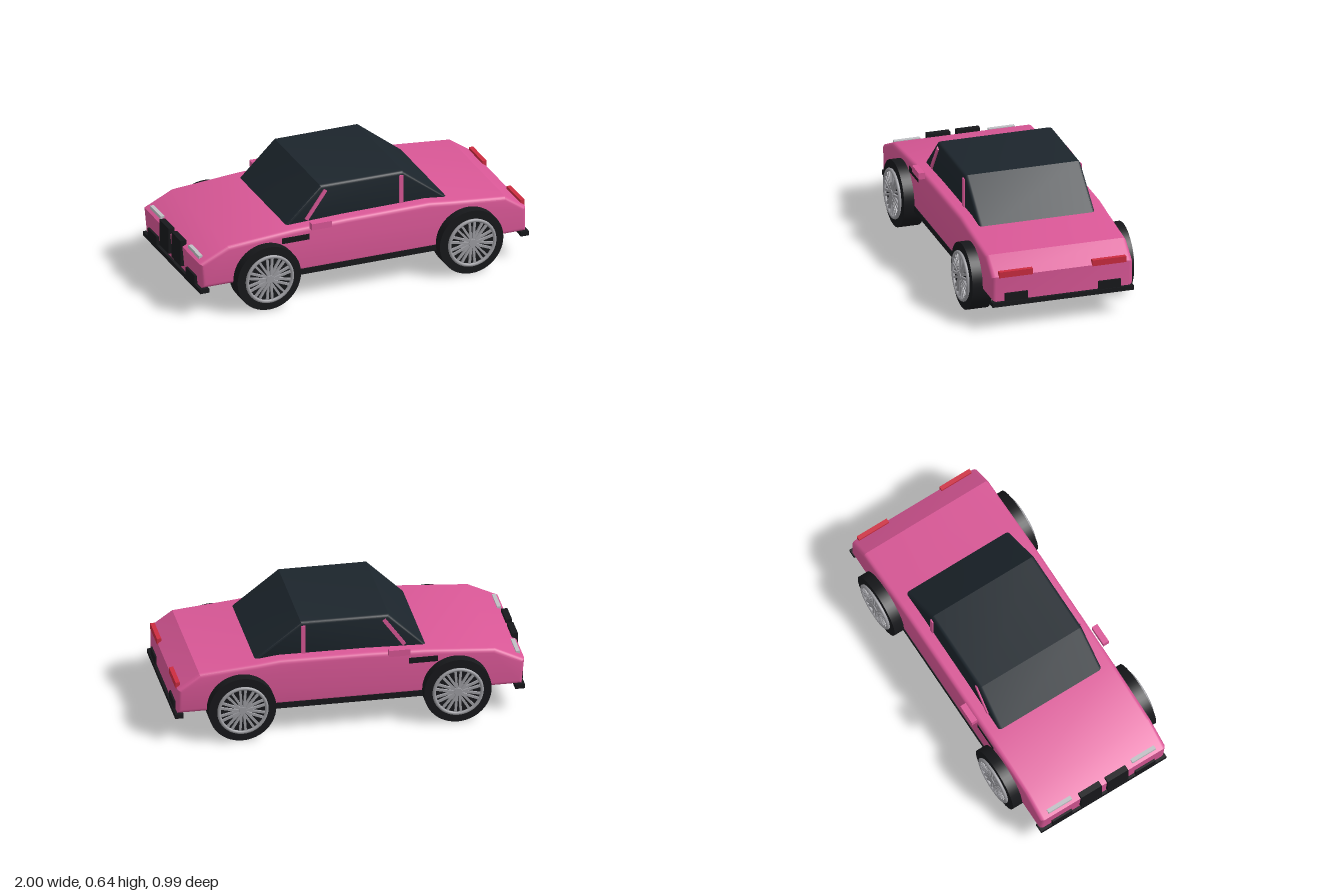
import * as THREE from 'three';
import { toCreasedNormals } from 'three/addons/utils/BufferGeometryUtils.js';

const mat = (color) => new THREE.MeshStandardMaterial({ color });

export function createModel() {
  const car = new THREE.Group();
  car.name = 'car';
  const paint = mat(0xd95796), black = mat(0x17181b), glass = mat(0x1c252c);
  const metal = mat(0x9c9ca1), red = mat(0xcc2c40), lamp = mat(0xbfc0c4);

  function add(name, geometry, material, parent = car) {
    const mesh = new THREE.Mesh(geometry, material);
    mesh.name = name;
    parent.add(mesh);
    return mesh;
  }

  // Box given by its lower and upper limits on each axis
  function box(name, material, [x0, x1], [y0, y1], [z0, z1], parent = car) {
    const mesh = add(name, new THREE.BoxGeometry(x1 - x0, y1 - y0, z1 - z0), material, parent);
    mesh.position.set((x0 + x1) / 2, (y0 + y1) / 2, (z0 + z1) / 2);
    return mesh;
  }

  // Same box on both sides of the car
  function pair(name, material, xs, ys, [z0, z1]) {
    box(name + 'Left', material, xs, ys, [z0, z1]);
    box(name + 'Right', material, xs, ys, [-z1, -z0]);
  }

  // Side profile extruded across the car with rounded edges
  function profile(name, points, halfWidth, bevel, material) {
    const shape = new THREE.Shape(points.map(([x, y]) => new THREE.Vector2(x, y)));
    const depth = 2 * (halfWidth - bevel);
    const geometry = new THREE.ExtrudeGeometry(shape, {
      depth, bevelEnabled: true, bevelThickness: bevel, bevelSize: bevel,
      bevelOffset: -bevel, bevelSegments: 4,
    });
    geometry.translate(0, 0, -depth / 2);
    return add(name, toCreasedNormals(geometry, 0.42), material);
  }

  // Body and cabin
  profile('body', [
    [-0.975, 0.168], [0.985, 0.168], [0.985, 0.315], [0.86, 0.402], [0.53, 0.432],
    [0.4, 0.447], [-0.1, 0.443], [-0.42, 0.433], [-0.82, 0.402], [-0.99, 0.32],
  ], 0.415, 0.025, paint);
  profile('cabin', [
    [-0.46, 0.41], [0.56, 0.41], [0.27, 0.637], [-0.23, 0.637],
  ], 0.34, 0.02, glass);

  // Window pillars
  for (const side of [1, -1]) {
    const front = add('windscreenPillar', new THREE.BoxGeometry(0.022, 0.2, 0.014), paint);
    front.position.set(-0.26, 0.528, side * 0.341);
    front.rotation.z = -0.62;
    const rear = add('doorPillar', new THREE.BoxGeometry(0.024, 0.185, 0.014), paint);
    rear.position.set(0.257, 0.523, side * 0.341);
  }

  // Side details
  pair('mirror', paint, [-0.33, -0.21], [0.43, 0.468], [0.418, 0.454]);
  pair('sideVent', black, [-0.495, -0.33], [0.36, 0.394], [0.405, 0.418]);
  pair('sill', black, [-0.45, 0.48], [0.15, 0.185], [0.38, 0.417]);

  // Nose
  pair('grille', black, [-1, -0.965], [0.2, 0.355], [0.02, 0.155]);
  pair('headlight', lamp, [-0.973, -0.95], [0.31, 0.347], [0.2, 0.355]);
  pair('frontIntake', black, [-0.993, -0.96], [0.165, 0.22], [0.21, 0.34]);
  box('frontLip', black, [-0.99, -0.935], [0.14, 0.166], [-0.415, 0.415]);

  // Tail
  pair('tailLight', red, [0.965, 0.99], [0.31, 0.345], [0.175, 0.373]);
  pair('rearVent', black, [0.965, 0.995], [0.165, 0.215], [0.207, 0.34]);
  box('rearLip', black, [0.952, 1], [0.14, 0.166], [-0.415, 0.415]);

  // Wheel built facing +z, with the tyre's outer face at z = 0.475
  function wheel(name, x, side) {
    const group = new THREE.Group();
    group.name = name;
    const tyre = add('tyre', new THREE.CylinderGeometry(0.192, 0.192, 0.12, 48), black, group);
    tyre.rotation.x = Math.PI / 2;
    tyre.position.z = 0.415;
    add('rim', new THREE.TorusGeometry(0.136, 0.01, 10, 48), metal, group).position.z = 0.483;
    const hub = add('hub', new THREE.CylinderGeometry(0.022, 0.026, 0.018, 24), metal, group);
    hub.rotation.x = Math.PI / 2;
    hub.position.z = 0.482;
    for (let i = 0; i < 10; i++) {
      const spoke = new THREE.Group();
      spoke.name = 'spoke';
      spoke.rotation.z = (i / 10) * Math.PI * 2;
      for (const s of [1, -1]) {
        const bar = add('spokeBar', new THREE.BoxGeometry(0.013, 0.118, 0.014), metal, spoke);
        bar.position.set(s * 0.0115, 0.075, 0.48);
        bar.rotation.z = -s * 0.08;
      }
      group.add(spoke);
    }
    group.position.set(x, 0.192, 0);
    group.rotation.y = side > 0 ? 0 : Math.PI;
    car.add(group);
  }
  for (const side of [1, -1]) {
    wheel('frontWheel', -0.597, side);
    wheel('rearWheel', 0.628, side);
  }
  return car;
}
